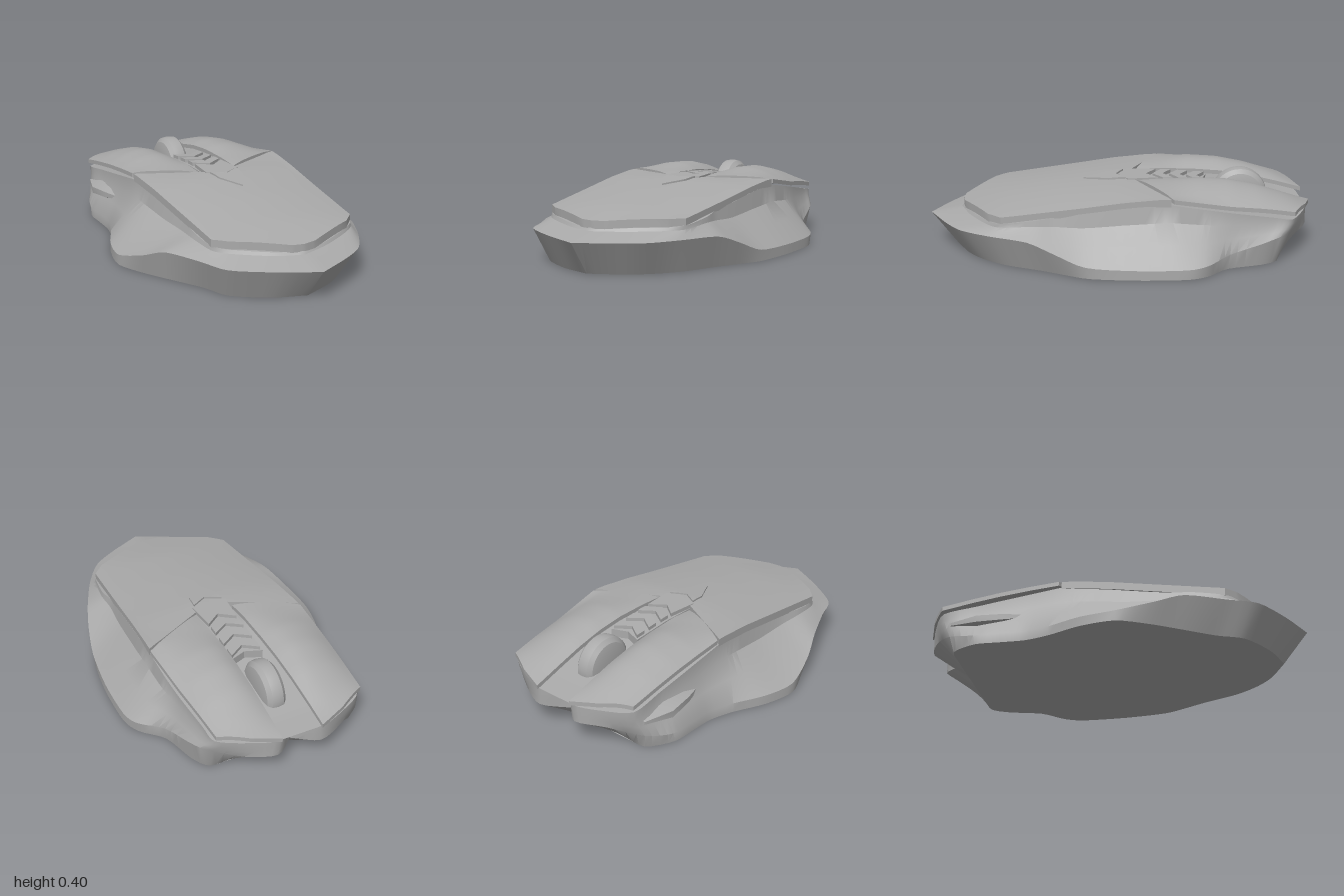
import * as THREE from 'three';
import { toCreasedNormals } from 'three/addons/utils/BufferGeometryUtils.js';

const grey = new THREE.MeshStandardMaterial({ color: 0xaaaaaa });
grey.name = 'grey plastic';
const V = (x, y, z) => new THREE.Vector3(x, y, z);

// Piecewise linear function through [input, output] pairs
const curve = (pts) => (t) => {
  if (t <= pts[0][0]) return pts[0][1];
  for (let i = 1; i < pts.length; i++) {
    const [a, b] = [pts[i - 1], pts[i]];
    if (t <= b[0]) return a[1] + (b[1] - a[1]) * (t - a[0]) / (b[0] - a[0]);
  }
  return pts[pts.length - 1][1];
};

// Heights along the length: outer rim, centre line and button crests
const rimY = curve([[-1, 0.24], [-0.85, 0.255], [-0.22, 0.36], [0, 0.34], [0.3, 0.3], [0.6, 0.262], [0.83, 0.245]]);
const crownY = curve([[-0.9, 0.26], [-0.5, 0.345], [-0.25, 0.367], [0, 0.367], [0.3, 0.335], [0.6, 0.295], [0.83, 0.25]]);
const crestY = curve([[-1, 0.24], [-0.85, 0.302], [-0.7, 0.352], [-0.55, 0.384], [-0.4, 0.392], [-0.22, 0.376], [-0.05, 0.368]]);

const palmHeight = (x, z) => rimY(z) + (crownY(z) - rimY(z)) * (1 - Math.min(1, (x / 0.43) ** 2));
const buttonHeight = (x, z) => {
  const d = Math.abs(x) - 0.21;
  const k = d > 0 ? Math.min(1, (d / 0.22) ** 2) : 0.4 * (d / 0.1) ** 2;
  return crestY(z) + (rimY(z) - crestY(z)) * k;
};

// Closed skin over rings of equal length, capped by strips across each end
function loft(name, rings, crease = 0.5) {
  const tris = [], n = rings[0].length;
  const tri = (a, b, c) => {
    const area = b.clone().sub(a).cross(c.clone().sub(a)).length();
    if (area > 1e-8) tris.push([a, b, c]);
  };
  const quad = (a, b, c, d) => { tri(a, b, c); tri(a, c, d); };
  for (let i = 0; i < rings.length - 1; i++) {
    for (let k = 0; k < n; k++) {
      const m = (k + 1) % n;
      quad(rings[i][k], rings[i][m], rings[i + 1][m], rings[i + 1][k]);
    }
  }
  const first = rings[0], last = rings[rings.length - 1];
  for (let k = 0; k < n / 2 - 1; k++) {
    quad(first[k], first[n - 1 - k], first[n - 2 - k], first[k + 1]);
    quad(last[k], last[k + 1], last[n - 2 - k], last[n - 1 - k]);
  }
  // Turn the skin outward if its enclosed volume is negative
  const volume = tris.reduce((s, [a, b, c]) => s + a.dot(b.clone().cross(c)), 0);
  const flat = tris.flatMap(([a, b, c]) => (volume < 0 ? [a, c, b] : [a, b, c]));
  const geo = new THREE.BufferGeometry().setFromPoints(flat);
  const mesh = new THREE.Mesh(toCreasedNormals(geo, crease), grey);
  mesh.name = name;
  return mesh;
}

// Thin curved plate between two plan edges of [x, z] points
function panel(name, edgeA, edgeB, height, thick, cols = 14, sub = 4) {
  const along = (edge, t) => {
    const i = Math.min(Math.floor(t), edge.length - 2), f = t - i;
    return [0, 1].map((c) => edge[i][c] + (edge[i + 1][c] - edge[i][c]) * f);
  };
  const rings = [];
  for (let r = 0; r <= (edgeA.length - 1) * sub; r++) {
    const a = along(edgeA, r / sub), b = along(edgeB, r / sub);
    const top = [];
    for (let c = 0; c <= cols; c++) {
      const x = a[0] + (b[0] - a[0]) * c / cols, z = a[1] + (b[1] - a[1]) * c / cols;
      top.push(V(x, height(x, z), z));
    }
    rings.push([...top, ...top.map((p) => V(p.x, p.y - thick, p.z)).reverse()]);
  }
  return loft(name, rings, 0.4);
}

// Side stations, tail to nose: base x z, lip x y z, rim x z
const nose = [
  [0.25, -0.79, 0.27, 0.12, -0.92, 0.26, -0.935],
  [0.1, -0.79, 0.12, 0.12, -0.98, 0.11, -0.98],
  [0, -0.79, 0, 0.1, -0.88, 0, -0.88],
];
const tail = [0, 0.87, 0, 0.17, 1, 0, 0.825];
const rightSide = [
  tail,
  [0.17, 0.8, 0.2, 0.17, 0.905, 0.16, 0.775],
  [0.28, 0.72, 0.32, 0.17, 0.825, 0.335, 0.685],
  [0.38, 0.6, 0.42, 0.17, 0.68, 0.405, 0.62],
  [0.47, 0.42, 0.51, 0.165, 0.49, 0.43, 0.46],
  [0.54, 0.3, 0.56, 0.12, 0.36, 0.42, 0.35],
  [0.6, 0.18, 0.602, 0.06, 0.2, 0.43, 0.2],
  [0.635, -0.05, 0.635, 0.05, -0.05, 0.445, -0.05],
  [0.64, -0.3, 0.64, 0.05, -0.3, 0.452, -0.24],
  [0.6, -0.41, 0.61, 0.06, -0.41, 0.45, -0.4],
  [0.5, -0.52, 0.51, 0.08, -0.53, 0.44, -0.55],
  [0.45, -0.7, 0.47, 0.12, -0.7, 0.415, -0.76],
  [0.39, -0.79, 0.43, 0.15, -0.82, 0.4, -0.86],
  ...nose,
];
const leftSide = [
  tail,
  [0.17, 0.81, 0.2, 0.17, 0.895, 0.14, 0.78],
  [0.34, 0.69, 0.385, 0.17, 0.765, 0.32, 0.665],
  [0.4, 0.55, 0.45, 0.17, 0.61, 0.38, 0.6],
  [0.5, 0.38, 0.54, 0.165, 0.41, 0.395, 0.45],
  [0.58, 0.24, 0.6, 0.11, 0.27, 0.382, 0.3],
  [0.645, 0.08, 0.645, 0.055, 0.08, 0.385, 0.1],
  [0.61, -0.1, 0.61, 0.05, -0.1, 0.395, -0.1],
  [0.53, -0.27, 0.53, 0.05, -0.27, 0.402, -0.24],
  [0.49, -0.4, 0.49, 0.05, -0.4, 0.402, -0.4],
  [0.485, -0.53, 0.485, 0.05, -0.53, 0.402, -0.53],
  [0.48, -0.66, 0.48, 0.05, -0.67, 0.4, -0.68],
  [0.4, -0.79, 0.42, 0.08, -0.81, 0.395, -0.855],
  ...nose,
];

// Stacked rings for one side: base, lip, two hollow waist lines, rim
function sideRings(rows, sign) {
  const smooth = (pts) => new THREE.CatmullRomCurve3(pts, false, 'catmullrom', 0.4).getPoints((rows.length - 1) * 4);
  const base = smooth(rows.map((r) => V(sign * r[0], 0, r[1])));
  const lip = smooth(rows.map((r) => V(sign * r[2], r[3], r[4])));
  const rim = smooth(rows.map((r) => V(sign * r[5], 0, r[6])));
  rim.forEach((p) => { p.y = rimY(p.z) - 0.03; });
  const waist = (fx, fy) => lip.map((p, i) => {
    const q = p.clone().lerp(rim[i], fx);
    q.y = p.y + (rim[i].y - p.y) * fy;
    return q;
  });
  return [base, lip, waist(0.5, 0.36), waist(0.93, 0.68), rim];
}

export function createModel() {
  const model = new THREE.Group();
  model.name = 'computerMouse';

  // Main body
  const right = sideRings(rightSide, 1), left = sideRings(leftSide, -1);
  model.add(loft('body', right.map((r, i) => [...r, ...left[i].slice().reverse()]), 0.6));

  // Palm cover with a pointed tail
  model.add(panel('palmCover',
    [[-0.405, -0.235], [-0.32, -0.19], [-0.08, -0.07], [0.015, -0.02], [0.11, -0.07], [0.36, -0.19], [0.455, -0.235]],
    [[-0.385, 0.6], [-0.32, 0.665], [-0.06, 0.815], [0.005, 0.825], [0.07, 0.815], [0.34, 0.685], [0.405, 0.62]],
    palmHeight, 0.04));

  // Click buttons
  model.add(panel('rightButton',
    [[0.11, -1], [0.25, -0.955], [0.4, -0.875]],
    [[0.125, -0.09], [0.28, -0.165], [0.457, -0.25]], buttonHeight, 0.022, 24, 6));
  model.add(panel('leftButton',
    [[-0.11, -1], [-0.25, -0.95], [-0.402, -0.865]],
    [[-0.085, -0.09], [-0.25, -0.165], [-0.407, -0.25]], buttonHeight, 0.022, 24, 6));

  // Centre strip: channel floor, chevrons, hub and arrow
  const cx = 0.025;
  const vee = (half, z, depth) => [[cx - half, z], [cx, z + depth], [cx + half, z]];
  const raised = (lift) => (x, z) => crownY(z) + lift;
  model.add(panel('channelFloor', vee(0.09, -0.47, 0.03), vee(0.095, -0.06, 0.05), raised(-0.015), 0.06));
  [-0.46, -0.37, -0.28].forEach((z, i) => model.add(
    panel('chevron' + (i + 1), vee(0.08, z, 0.05), vee(0.08, z + 0.055, 0.05), raised(0.003), 0.03, 4)));
  model.add(panel('hub', vee(0.08, -0.2, 0.06), vee(0.095, -0.04, 0.05), raised(0.004), 0.03, 6));
  model.add(panel('arrow', vee(0.08, -0.025, 0.045), [[-0.045, 0.06], [cx, 0.19], [0.095, 0.06]], raised(0.008), 0.03, 6));

  // Scroll wheel
  const profile = [[0, -0.058], [0.09, -0.058], [0.125, -0.05], [0.146, -0.03], [0.15, 0],
    [0.146, 0.03], [0.125, 0.05], [0.09, 0.058], [0, 0.058]].map(([r, h]) => new THREE.Vector2(r, h));
  const wheel = new THREE.Mesh(toCreasedNormals(new THREE.LatheGeometry(profile, 40), 0.5), grey);
  wheel.name = 'scrollWheel';
  wheel.rotation.z = Math.PI / 2;
  wheel.position.set(0.015, 0.245, -0.64);
  model.add(wheel);

  // Small fin low on the thumb side
  const fin = [[-0.38, 0.41, 0.17, 0.01], [-0.52, 0.45, 0.16, 0.03], [-0.66, 0.468, 0.15, 0.035], [-0.81, 0.42, 0.15, 0.015]];
  model.add(loft('sideFin', fin.map(([z, x, y, h]) => [
    V(-x, y - h * 0.5, z), V(-x, y + h * 0.5, z), V(-0.38, y + h * 1.6, z), V(-0.38, y - h * 1.6, z)])));

  return model;
}
